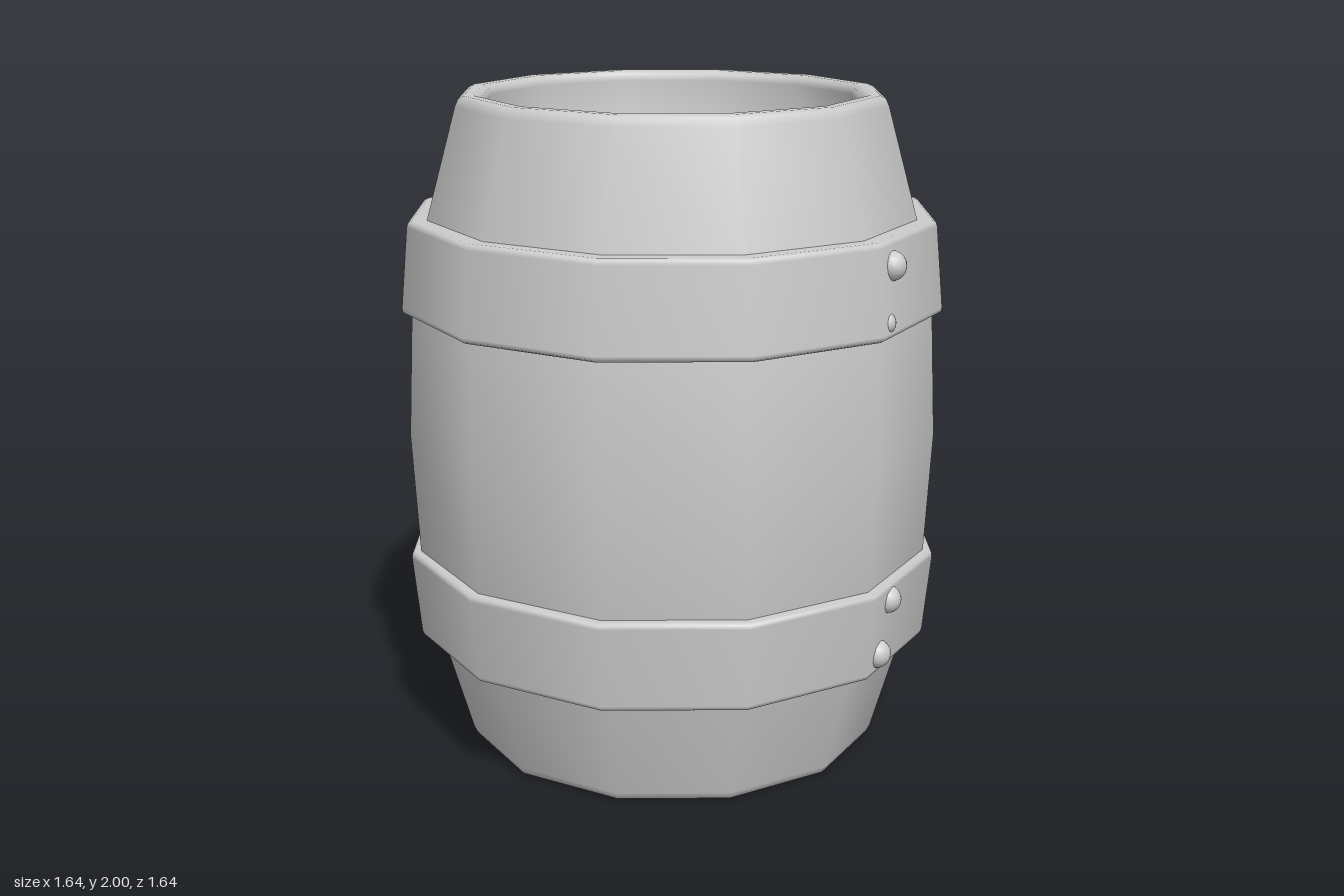
import * as THREE from 'three';

const SIDES = 12;
const material = new THREE.MeshStandardMaterial({ color: 0xcccccc });

// Twelve-sided smooth body of revolution from [radius, y] pairs
function lathe(name, profile) {
  const points = profile.map(([r, y]) => new THREE.Vector2(r, y));
  const mesh = new THREE.Mesh(new THREE.LatheGeometry(points, SIDES), material);
  mesh.name = name;
  return mesh;
}

// Flip a half profile about mid height (y = 1), keeping the running order
const mirrored = (profile) => profile.map(([r, y]) => [r, 2 - y]).reverse();

export function createModel() {
  const barrel = new THREE.Group();
  barrel.name = 'barrel';

  // Staved body: recessed end, bevelled rim, bulging side, then the same upward
  const lowerHalf = [
    [0, 0.5], [0.565, 0.5], [0.565, 0.03], [0.572, 0.01], [0.59, 0],
    [0.62, 0], [0.636, 0.008], [0.646, 0.03], [0.742, 0.37], [0.792, 0.64],
  ];
  barrel.add(lathe('body', [...lowerHalf, [0.81, 1], ...mirrored(lowerHalf)]));

  // Hoops with softened edges, wider toward the middle of the barrel
  const lowerHoop = [
    [0.72, 0.355], [0.782, 0.355], [0.793, 0.36], [0.797, 0.372],
    [0.82, 0.612], [0.818, 0.624], [0.808, 0.63], [0.77, 0.63],
  ];
  barrel.add(lathe('lowerHoop', lowerHoop));
  barrel.add(lathe('upperHoop', mirrored(lowerHoop)));

  // Rivets at the hoop joints on the front: x, y, z, radius
  const rivets = [
    [0.08, 1.57, 0.775, 0.043],
    [0.045, 1.415, 0.785, 0.032],
    [0.11, 0.575, 0.775, 0.042],
    [0.07, 0.415, 0.773, 0.043],
  ];
  for (const [x, y, z, r] of rivets) {
    const rivet = new THREE.Mesh(new THREE.SphereGeometry(r, 16, 10), material);
    rivet.name = 'rivet';
    rivet.position.set(x, y, z);
    barrel.add(rivet);
  }

  return barrel;
}
